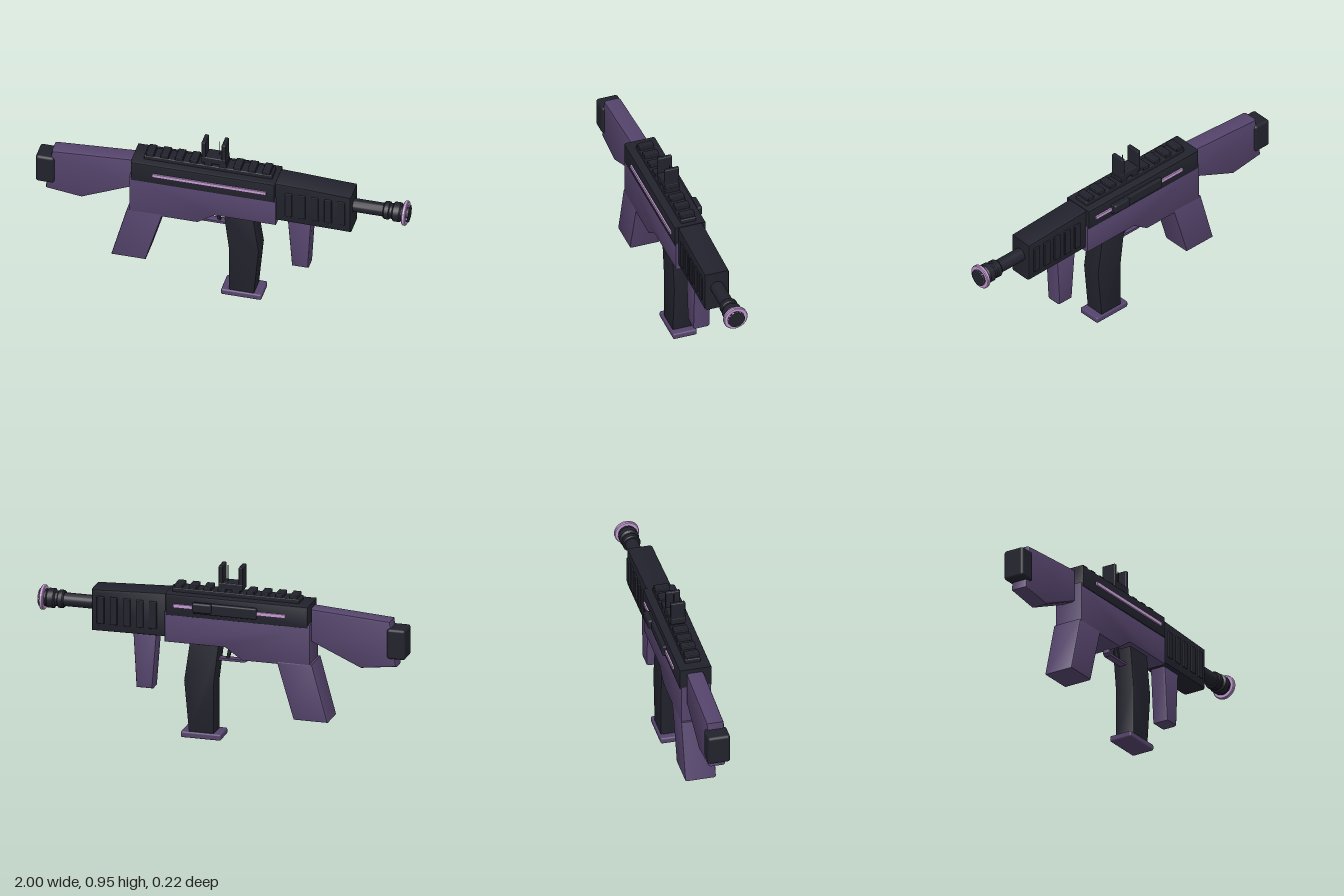
import * as THREE from 'three';
import { toCreasedNormals } from 'three/addons/utils/BufferGeometryUtils.js';
import { RoundedBoxGeometry } from 'three/addons/geometries/RoundedBoxGeometry.js';

const material = (name, color) => {
  const m = new THREE.MeshStandardMaterial({ color });
  m.name = name;
  return m;
};

export function createModel() {
  const model = new THREE.Group();
  model.name = 'toyRifle';
  const dark = material('charcoal', 0x22222d);
  const purple = material('purple', 0x55446c);
  const pink = material('lilac', 0xc39ad2);

  const add = (name, geometry, mat) => {
    const mesh = new THREE.Mesh(geometry, mat);
    mesh.name = name;
    model.add(mesh);
    return mesh;
  };

  // Bevelled side profile stretched between two depths
  const slab = (name, points, z0, z1, mat, bevel = 0.012) => {
    const shape = new THREE.Shape(points.map(([x, y]) => new THREE.Vector2(x, y)));
    const g = new THREE.ExtrudeGeometry(shape, {
      depth: z1 - z0 - 2 * bevel, bevelEnabled: true, bevelThickness: bevel,
      bevelSize: bevel, bevelOffset: -bevel, bevelSegments: 2,
    });
    g.translate(0, 0, z0 + bevel);
    return add(name, toCreasedNormals(g, 0.6), mat);
  };

  // Box given by its limits on each axis, rounded when r > 0
  const box = (name, [x0, x1], [y0, y1], [z0, z1], mat, r = 0) => {
    const size = [x1 - x0, y1 - y0, z1 - z0];
    const g = r ? new RoundedBoxGeometry(...size, 2, r) : new THREE.BoxGeometry(...size);
    g.translate((x0 + x1) / 2, (y0 + y1) / 2, (z0 + z1) / 2);
    return add(name, g, mat);
  };

  // Turned part along the barrel axis: points are [radius, x]
  const turned = (name, points, mat) => {
    const g = new THREE.LatheGeometry(points.map(([r, x]) => new THREE.Vector2(r, x)), 28);
    g.rotateZ(-Math.PI / 2);
    g.translate(0, 0.675, 0.015);
    return add(name, toCreasedNormals(g, 0.6), mat);
  };

  // Receiver and pistol grip
  slab('upperReceiver', [[-0.48, 0.67], [0.295, 0.67], [0.295, 0.79], [-0.48, 0.79]], -0.072, 0.103, dark);
  slab('lowerReceiver', [[-0.488, 0.69], [-0.488, 0.46], [-0.12, 0.46], [-0.03, 0.523],
    [0.3, 0.523], [0.3, 0.69]], -0.066, 0.097, purple, 0.006);
  slab('pistolGrip', [[-0.5, 0.475], [-0.585, 0.162], [-0.4, 0.162], [-0.308, 0.475]], -0.068, 0.098, purple, 0.008);

  // Stock
  slab('stock', [[-0.915, 0.742], [-0.95, 0.495], [-0.755, 0.47], [-0.485, 0.59], [-0.485, 0.77]],
    -0.038, 0.057, purple, 0.014);
  box('buttPad', [-1, -0.9], [0.54, 0.705], [-0.05, 0.07], dark, 0.015);

  // Handguard with raised side ribs
  slab('handguard', [[0.29, 0.545], [0.7, 0.54], [0.7, 0.768], [0.29, 0.787]], -0.054, 0.084, dark, 0.014);
  for (let i = 0; i < 5; i++) {
    const x = 0.365 + i * 0.071;
    for (const [z0, z1] of [[-0.064, -0.045], [0.075, 0.09]])
      box('handguardRib', [x - 0.02, x + 0.02], [0.585, 0.735], [z0, z1], dark, 0.004);
  }
  slab('foregrip', [[0.352, 0.545], [0.375, 0.243], [0.465, 0.243], [0.482, 0.545]], -0.033, 0.062, purple, 0.014);

  // Barrel and muzzle
  turned('barrel', [[0, 0.68], [0.036, 0.68], [0.036, 0.88], [0, 0.88]], dark);
  turned('muzzle', [[0, 0.863], [0.043, 0.863], [0.048, 0.87], [0.048, 0.892], [0.041, 0.897],
    [0.041, 0.91], [0.052, 0.918], [0.052, 0.95], [0.046, 0.958], [0.046, 0.998], [0, 0.998]], dark);
  turned('muzzleRing', [[0.046, 0.968], [0.062, 0.968], [0.066, 0.972], [0.066, 0.984],
    [0.062, 0.988], [0.046, 0.988], [0.046, 1]], pink);

  // Top rail
  box('railBase', [-0.42, 0.27], [0.78, 0.812], [-0.027, 0.057], dark, 0.005);
  for (let i = 0; i < 9; i++) {
    const x = -0.387 + i * 0.078;
    box('railTooth', [x - 0.021, x + 0.021], [0.805, 0.832], [-0.025, 0.055], dark, 0.004);
  }

  // Sight
  box('sightBase', [-0.112, 0.02], [0.825, 0.862], [-0.025, 0.055], dark, 0.005);
  for (const x of [-0.1, 0.008])
    box('sightPost', [x - 0.011, x + 0.011], [0.85, 0.955], [-0.024, 0.054], dark, 0.005);
  box('sightPin', [-0.024, -0.02], [0.86, 0.95], [0.013, 0.017], dark);

  // Side stripes, bolt cover and charging knob
  box('stripe', [-0.36, 0.25], [0.72, 0.739], [0.102, 0.111], pink);
  box('stripe', [-0.36, 0.25], [0.72, 0.739], [-0.08, -0.071], pink);
  box('boltCover', [-0.205, 0.14], [0.7, 0.76], [-0.092, -0.065], dark, 0.008);
  box('chargingKnob', [0.036, 0.14], [0.712, 0.764], [-0.109, -0.08], dark, 0.01);

  // Trigger and guard
  slab('triggerGuard', [[-0.135, 0.47], [-0.135, 0.44], [-0.118, 0.428], [0.04, 0.428], [0.04, 0.442],
    [-0.112, 0.442], [-0.12, 0.47]], -0.005, 0.035, purple, 0.002);
  slab('trigger', [[-0.055, 0.53], [-0.03, 0.442], [-0.015, 0.442], [-0.03, 0.53]], 0.005, 0.025, dark, 0.002);

  // Magazine
  slab('magazine', [[0.012, 0.53], [0.04, 0.3], [0.04, 0.03], [0.176, 0.03], [0.202, 0.31], [0.17, 0.53]],
    -0.04, 0.071, dark, 0.006);
  box('magazineBase', [0, 0.218], [0, 0.034], [-0.05, 0.081], purple, 0.009);

  return model;
}
